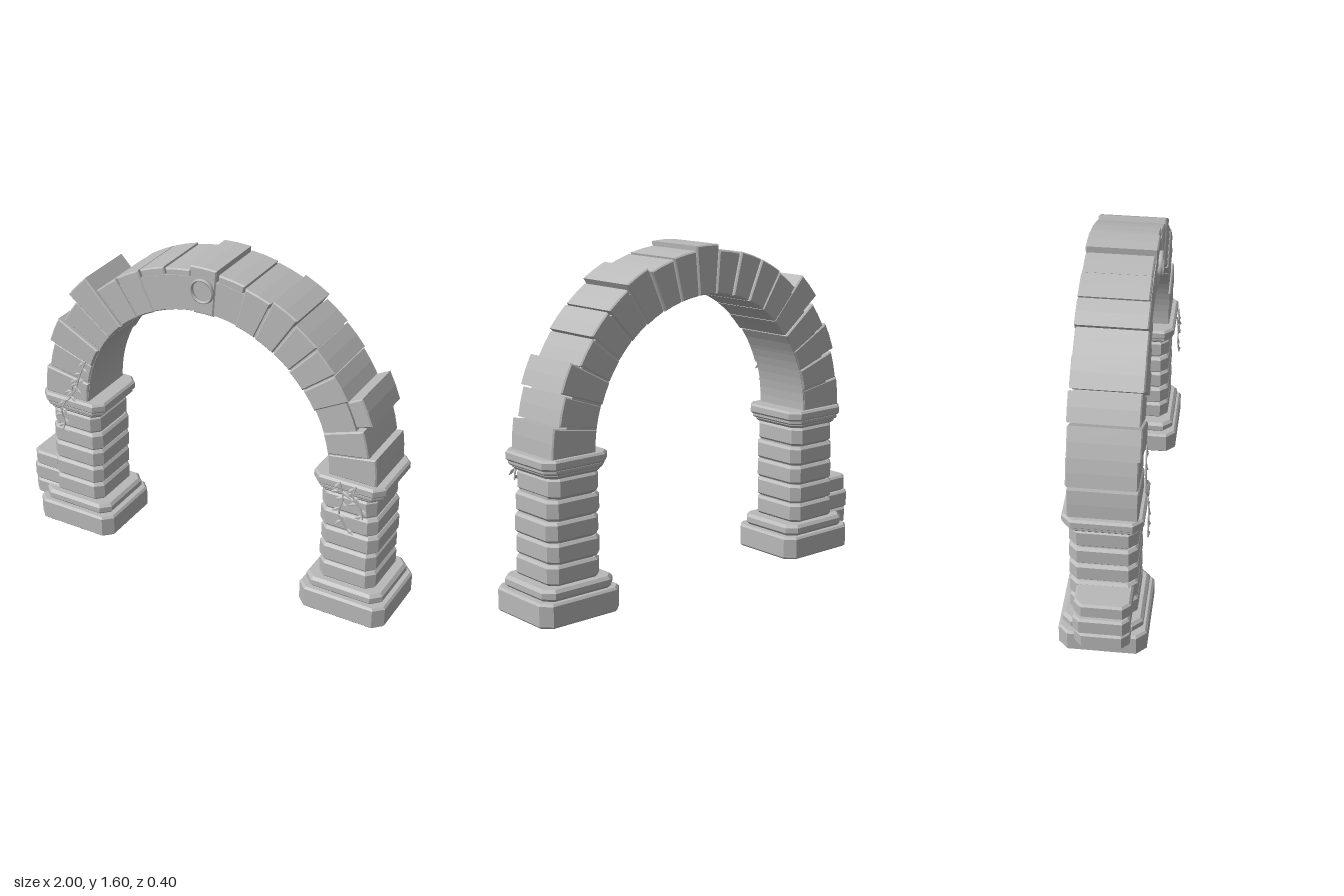
import * as THREE from 'three';

const stone = new THREE.MeshStandardMaterial({ color: 0xb9b9b9 });
stone.name = 'grey stone';

const CX = 0.03, SPRING = 0.735, INNER = 0.64; // arch centre, springing height, inner radius

function add(parent, geometry, name) {
  const mesh = new THREE.Mesh(geometry, stone);
  mesh.name = name;
  parent.add(mesh);
  return mesh;
}

function bevelled(shape, depth, b) {
  return new THREE.ExtrudeGeometry(shape, {
    depth: depth - 2 * b, bevelEnabled: true, bevelThickness: b, bevelSize: b,
    bevelOffset: -b, bevelSegments: 1, curveSegments: 4,
  });
}

// Horizontal slab with cut corners: x/z ranges, y range, corner cut c, edge bevel b
function slab(parent, name, [x0, x1], [y0, y1], [z0, z1], c, b = 0.01) {
  const w = (x1 - x0) / 2, d = (z1 - z0) / 2;
  const shape = new THREE.Shape([
    [-w + c, -d], [w - c, -d], [w, -d + c], [w, d - c],
    [w - c, d], [-w + c, d], [-w, d - c], [-w, -d + c],
  ].map(p => new THREE.Vector2(...p)));
  const g = bevelled(shape, y1 - y0, b);
  g.rotateX(-Math.PI / 2);
  g.translate((x0 + x1) / 2, y0 + b, (z0 + z1) / 2);
  return add(parent, g, name);
}

// Ring sector between two radii and angles
function sector(r0, r1, a0, a1, steps) {
  const pts = [];
  for (const [r, from, to] of [[r1, a0, a1], [r0, a1, a0]])
    for (let i = 0; i <= steps; i++) {
      const a = from + (to - from) * i / steps;
      pts.push(new THREE.Vector2(r * Math.cos(a), r * Math.sin(a)));
    }
  return new THREE.Shape(pts);
}

function makePillar(name, cx, shifts) {
  const g = new THREE.Group();
  g.name = name;
  const span = (h, s = 0) => [cx - h + s, cx + h + s];
  slab(g, 'plinth', span(0.22), [0, 0.113], [-0.203, 0.2], 0.045);
  slab(g, 'plinthStep', span(0.195), [0.113, 0.167], [-0.188, 0.18], 0.045, 0.014);
  slab(g, 'pillarCore', span(0.125), [0.15, 0.7], [-0.138, 0.132], 0.035, 0.004);
  shifts.forEach((s, i) => {
    const y = 0.168 + i * 0.0975, h = i === 4 ? 0.136 : 0.144;
    slab(g, 'pillarBlock', span(h, s), [y, y + 0.092], [-0.156, 0.15], 0.038, 0.012);
  });
  slab(g, 'capitalNeck', span(0.152), [0.652, 0.69], [-0.167, 0.162], 0.04, 0.014);
  slab(g, 'capitalBand', span(0.165), [0.672, 0.7], [-0.174, 0.17], 0.04, 0.008);
  slab(g, 'capital', span(0.177), [0.692, 0.74], [-0.182, 0.178], 0.045, 0.01);
  return g;
}

function makeArch() {
  const g = new THREE.Group();
  g.name = 'arch';
  g.position.set(CX, SPRING, 0);
  const core = new THREE.ExtrudeGeometry(sector(INNER + 0.006, 0.81, 0, Math.PI, 48),
    { depth: 0.3, bevelEnabled: false });
  core.translate(0, 0, -0.156);
  add(g, core, 'archCore');
  // Outer radius, front z and back z of each stone, from the right end (+x) over the top
  const outer = [0.88, 0.85, 0.885, 0.825, 0.835, 0.838, 0.862, 0.84, 0.846, 0.867,
    0.84, 0.846, 0.846, 0.842, 0.92, 0.87, 0.897, 0.875, 0.89];
  const front = [0.148, 0.155, 0.13, 0.152, 0.156, 0.15, 0.152, 0.148, 0.14, 0.15,
    0.14, 0.142, 0.15, 0.155, 0.162, 0.15, 0.162, 0.15, 0.155];
  const back = [0.16, 0.158, 0.172, 0.16, 0.158, 0.162, 0.168, 0.175, 0.175, 0.172,
    0.17, 0.172, 0.172, 0.165, 0.158, 0.168, 0.16, 0.165, 0.158];
  const step = Math.PI / outer.length, gap = 0.004;
  outer.forEach((r, i) => {
    const low = i < 3 || i > 15;
    const geo = bevelled(sector(low ? INNER + 0.008 : INNER, r, i * step + gap, (i + 1) * step - gap, 2),
      front[i] + back[i], 0.006);
    geo.translate(0, 0, -back[i] + 0.006);
    add(g, geo, i === 9 ? 'keystone' : 'archStone');
  });
  // Round ornament on the keystone
  const ring = add(g, new THREE.TorusGeometry(0.054, 0.006, 6, 24), 'keystoneRing');
  ring.position.set(0, 0.757, 0.158);
  ring.scale.z = 2;
  return g;
}

// Vine stem along a few points, with small pointed leaves on alternating sides
function makeVine(name, points, leaves) {
  const g = new THREE.Group();
  g.name = name;
  const curve = new THREE.CatmullRomCurve3(points.map(p => new THREE.Vector3(...p)));
  add(g, new THREE.TubeGeometry(curve, 14, 0.004, 5), 'vineStem');
  for (let i = 0; i < leaves; i++) {
    const p = curve.getPoint((i + 0.5) / leaves), side = i % 2 ? 1 : -1;
    const leaf = add(g, new THREE.OctahedronGeometry(1), 'vineLeaf');
    leaf.scale.set(0.01, 0.023, 0.004);
    leaf.position.set(p.x + side * 0.017, p.y - 0.006, p.z + 0.004);
    leaf.rotation.set(-0.25, 0, side * (0.7 + 0.25 * (i % 3)));
  }
  return g;
}

export function createModel() {
  const model = new THREE.Group();
  model.name = 'stoneArchway';
  model.add(makePillar('rightPillar', -0.71, [-0.003, -0.003, 0, 0.001, 0]));
  model.add(makePillar('leftPillar', 0.775, [0.003, 0, 0.005, -0.002, -0.005]));
  model.add(makeArch());

  // Broken wall stub beside one pillar
  const stub = new THREE.Group();
  stub.name = 'wallStub';
  slab(stub, 'stubBlock', [-0.998, -0.8], [0.095, 0.175], [-0.12, 0.13], 0.035);
  slab(stub, 'stubBlock', [-1, -0.8], [0.177, 0.264], [-0.125, 0.13], 0.03);
  slab(stub, 'stubBlock', [-0.99, -0.8], [0.268, 0.345], [-0.12, 0.135], 0.035);
  model.add(stub);

  // Climbing plants on the front
  model.add(makeVine('rightVineUpper', [[-0.61, 0.97, 0.165], [-0.65, 0.88, 0.165], [-0.68, 0.79, 0.17], [-0.72, 0.73, 0.185]], 9));
  model.add(makeVine('rightVineLower', [[-0.72, 0.74, 0.186], [-0.75, 0.67, 0.188], [-0.735, 0.61, 0.186], [-0.75, 0.56, 0.185]], 6));
  model.add(makeVine('rightVineTwig', [[-0.66, 0.86, 0.165], [-0.69, 0.82, 0.168], [-0.7, 0.77, 0.17]], 3));
  model.add(makeVine('leftVineMain', [[0.75, 0.74, 0.184], [0.77, 0.66, 0.188], [0.755, 0.58, 0.19], [0.81, 0.49, 0.192]], 8));
  model.add(makeVine('leftVineBranch', [[0.83, 0.74, 0.184], [0.82, 0.68, 0.188], [0.86, 0.63, 0.188], [0.87, 0.58, 0.188]], 5));
  model.add(makeVine('leftVineTwig', [[0.84, 0.71, 0.186], [0.78, 0.69, 0.188], [0.73, 0.7, 0.186]], 3));
  return model;
}
